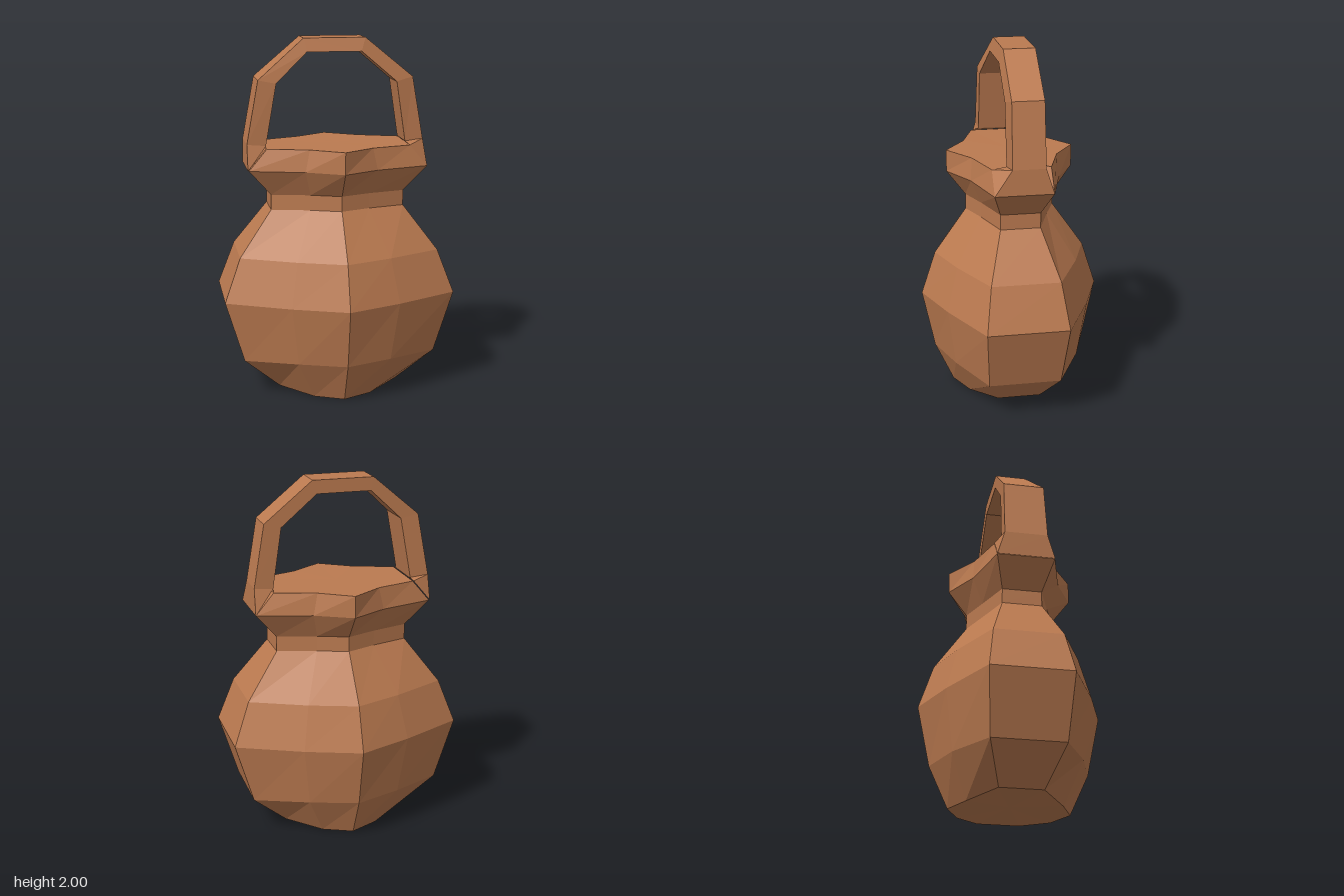
import * as THREE from 'three';

const clay = new THREE.MeshStandardMaterial({ color: 0xbb7a50, flatShading: true });
clay.name = 'clay';

// Skins a list of closed rings (arrays of [x, y, z]); caps close both ends.
function loft(name, rings, caps) {
  const pos = [];
  const tri = (a, b, c) => pos.push(...a, ...b, ...c);
  const n = rings[0].length;
  for (let i = 0; i < rings.length - 1; i++) {
    for (let j = 0; j < n; j++) {
      const k = (j + 1) % n;
      const a = rings[i][j], b = rings[i][k], c = rings[i + 1][j], d = rings[i + 1][k];
      tri(a, c, b);
      tri(b, c, d);
    }
  }
  if (caps) {
    const low = rings[0], high = rings[rings.length - 1];
    const lowMid = [0, low[0][1], 0], highMid = [0, high[0][1], 0];
    for (let j = 0; j < n; j++) {
      const k = (j + 1) % n;
      tri(lowMid, low[j], low[k]);
      tri(highMid, high[k], high[j]);
    }
  }
  const geo = new THREE.BufferGeometry();
  geo.setAttribute('position', new THREE.Float32BufferAttribute(pos, 3));
  geo.computeVertexNormals();
  const mesh = new THREE.Mesh(geo, clay);
  mesh.name = name;
  return mesh;
}

// Ten-sided body ring: flat sides at +-X, a pointed ridge at front and back.
function bodyRing([ySide, yMid, X, zSide, xMid, zMid, Z]) {
  const half = [[X, ySide, zSide], [xMid, yMid, zMid], [0, yMid, Z], [-xMid, yMid, zMid], [-X, ySide, zSide]];
  return [...half, ...half.map(([x, y, z]) => [-x, y, -z])];
}

export function createModel() {
  const group = new THREE.Group();
  group.name = 'handledPot';

  // side height, ridge height, half width, side z, mid x, mid z, ridge z
  const levels = [
    [0.025, 0.0, 0.34, 0.12, 0.16, 0.26, 0.335],
    [0.215, 0.23, 0.545, 0.2, 0.26, 0.35, 0.44],
    [0.565, 0.565, 0.65, 0.225, 0.3, 0.395, 0.51],
    [0.81, 0.81, 0.56, 0.19, 0.26, 0.335, 0.43],
    [1.06, 1.065, 0.375, 0.11, 0.165, 0.185, 0.25],
    [1.145, 1.15, 0.375, 0.11, 0.165, 0.185, 0.25],
    [1.29, 1.29, 0.5, 0.16, 0.2, 0.245, 0.355],
    [1.41, 1.412, 0.4, 0.16, 0.175, 0.235, 0.355],
  ];
  group.add(loft('potBody', levels.map(bodyRing), true));

  // Handle sections: outer x, y, front z, then inner x, y, front z, then back z
  const sections = [
    [0.5, 1.29, 0.16, 0.4, 1.41, 0.16, -0.16],
    [0.495, 1.43, 0.065, 0.39, 1.42, 0.08, -0.115],
    [0.435, 1.78, 0.06, 0.34, 1.755, 0.08, -0.115],
    [0.165, 2.0, 0.06, 0.14, 1.925, 0.08, -0.115],
    [-0.18, 2.0, 0.06, -0.165, 1.925, 0.08, -0.115],
    [-0.44, 1.78, 0.115, -0.34, 1.76, 0.115, -0.115],
    [-0.505, 1.43, 0.12, -0.4, 1.42, 0.115, -0.12],
    [-0.505, 1.29, 0.16, -0.405, 1.41, 0.16, -0.16],
  ];
  group.add(loft('handle', sections.map(([ox, oy, of, ix, iy, inf, zb]) => [
    [ox, oy, zb], [ox, oy, of], [ix, iy, inf], [ix, iy, zb],
  ]), false));

  return group;
}
